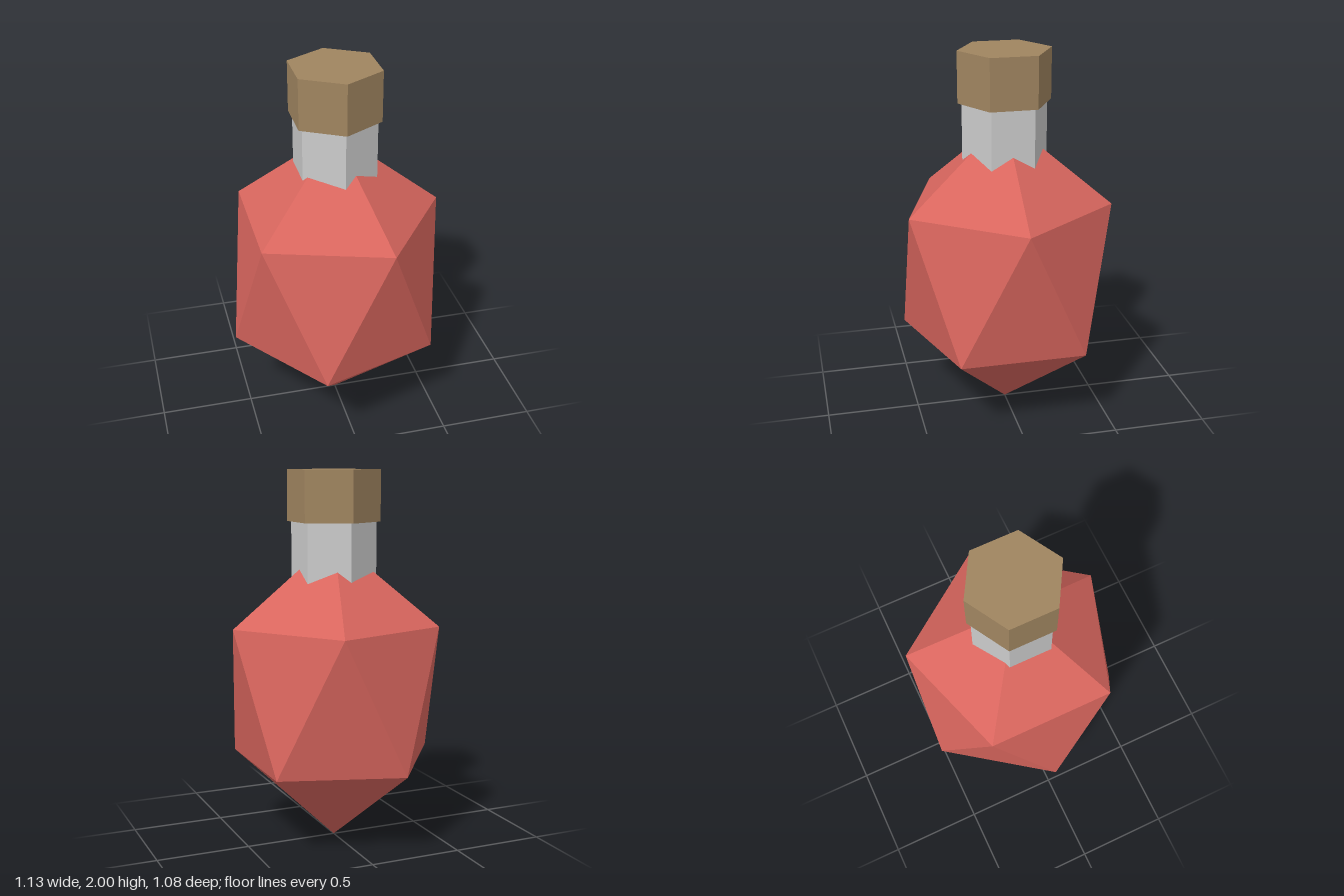
import * as THREE from 'three';

const material = (color) => new THREE.MeshStandardMaterial({ color, flatShading: true });

function addMesh(group, name, geometry, color) {
  const mesh = new THREE.Mesh(geometry, material(color));
  mesh.name = name;
  group.add(mesh);
  return mesh;
}

// Stretched icosahedron: two apexes and two five-point rings, half a step apart
function gemGeometry(radius, bottom, lower, upper, top) {
  const point = (step, y) => {
    const a = (step * Math.PI * 2) / 5;
    return [radius * Math.cos(a), y, radius * Math.sin(a)];
  };
  const topApex = [0, top, 0];
  const bottomApex = [0, bottom, 0];
  const positions = [];
  for (let i = 0; i < 5; i++) {
    const u0 = point(i, upper);
    const u1 = point(i + 1, upper);
    const l0 = point(i - 0.5, lower);
    const l1 = point(i + 0.5, lower);
    positions.push(...topApex, ...u1, ...u0);
    positions.push(...u1, ...l1, ...u0);
    positions.push(...u0, ...l1, ...l0);
    positions.push(...bottomApex, ...l0, ...l1);
  }
  const geometry = new THREE.BufferGeometry();
  geometry.setAttribute('position', new THREE.Float32BufferAttribute(positions, 3));
  geometry.computeVertexNormals();
  return geometry;
}

// Six-sided prism between two heights
function hexPrism(radius, y0, y1) {
  return new THREE.CylinderGeometry(radius, radius, y1 - y0, 6).translate(0, (y0 + y1) / 2, 0);
}

export function createModel() {
  const group = new THREE.Group();
  group.name = 'potionBottle';

  // Faceted flask body
  addMesh(group, 'body', gemGeometry(0.566, 0.005, 0.457, 1.188, 1.64), 0xd9665e);

  // Neck, sunk into the body
  addMesh(group, 'neck', hexPrism(0.226, 1.35, 1.75), 0xcccccc);

  // Stopper over the neck
  addMesh(group, 'stopper', hexPrism(0.247, 1.73, 2), 0xa08560);

  return group;
}
